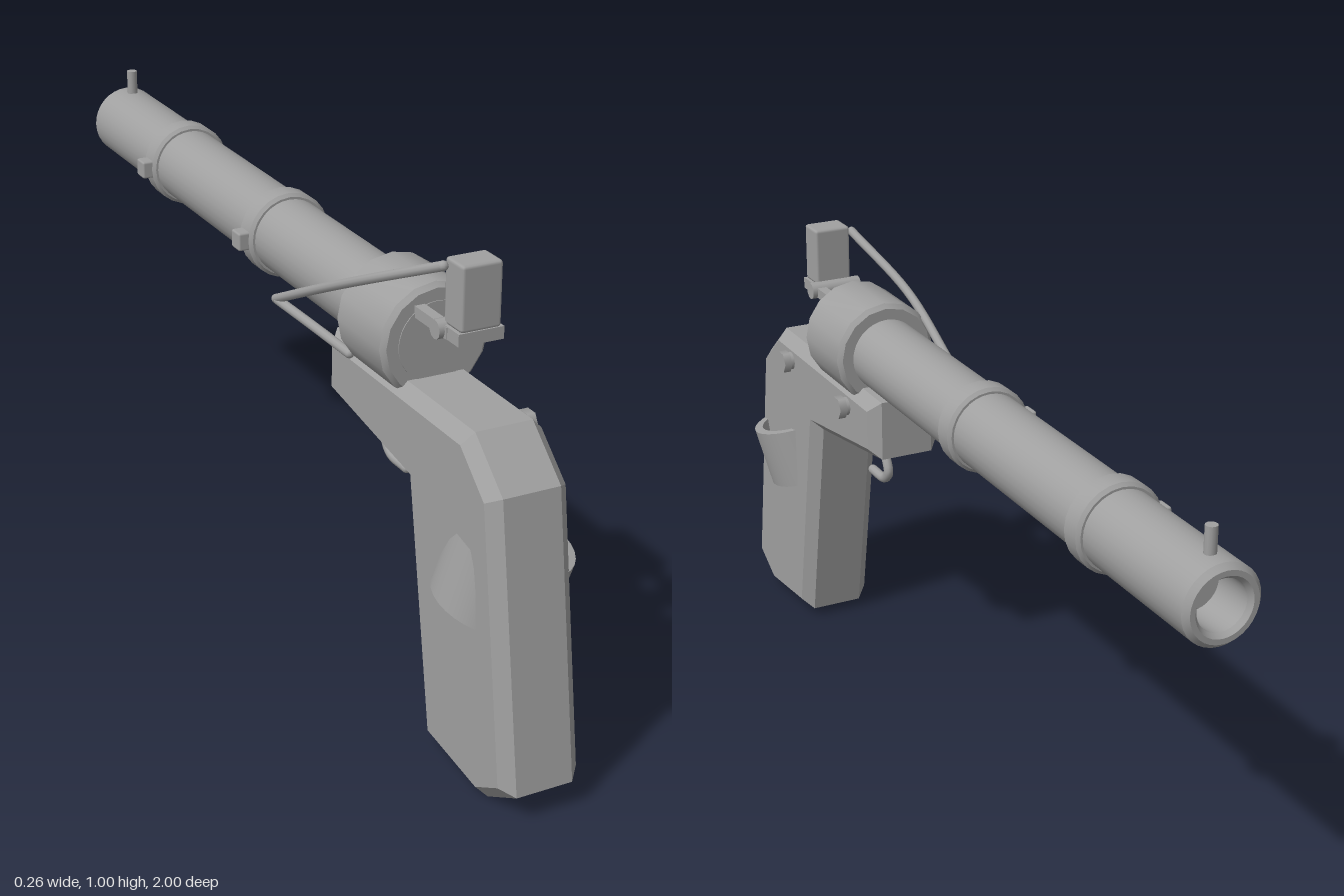
import * as THREE from 'three';
import { toCreasedNormals } from 'three/addons/utils/BufferGeometryUtils.js';
import { RoundedBoxGeometry } from 'three/addons/geometries/RoundedBoxGeometry.js';

const CX = -0.015; // centre plane of the body
const AXIS = 0.79; // height of the barrel axis
const steel = new THREE.MeshStandardMaterial({ color: 0xa0a0a0 });
steel.name = 'grey steel';

export function createModel() {
  const model = new THREE.Group();
  model.name = 'handCannon';

  const add = (name, geometry, x = 0, y = 0, z = 0) => {
    const mesh = new THREE.Mesh(geometry, steel);
    mesh.name = name;
    mesh.position.set(x, y, z);
    model.add(mesh);
    return mesh;
  };
  const lathe = (points, sides) =>
    toCreasedNormals(new THREE.LatheGeometry(points.map(p => new THREE.Vector2(...p)), sides), 0.6);
  // Turned part lying along z; profile is [radius, z]
  const turned = (name, points, sides) => add(name, lathe(points, sides).rotateX(Math.PI / 2), CX, AXIS);
  const collar = (name, r, z0, z1, c, sides) =>
    turned(name, [[0, z0], [r - c, z0], [r, z0 + c], [r, z1 - c], [r - c, z1], [0, z1]], sides);
  const rod = (name, points, radius) => {
    const curve = new THREE.CatmullRomCurve3(points.map(p => new THREE.Vector3(...p)));
    add(name, new THREE.TubeGeometry(curve, 24, radius, 10));
    for (const p of [points[0], points[points.length - 1]])
      add(name + 'End', new THREE.SphereGeometry(radius, 10, 8), ...p);
  };

  // Chamfered grip and frame, outlined as [z, y]
  const outline = [[0.90, 0], [1, 0.058], [0.912, 0.632], [0.81, 0.72], [0.27, 0.72],
    [0.27, 0.585], [0.6, 0.535], [0.69, 0.02]];
  const grip = new THREE.ExtrudeGeometry(new THREE.Shape(outline.map(p => new THREE.Vector2(...p))), {
    depth: 0.12, bevelThickness: 0.025, bevelSize: 0.025, bevelOffset: -0.025, bevelSegments: 1,
  });
  grip.translate(0, 0, -0.06).rotateY(-Math.PI / 2);
  add('grip', grip, CX);

  // Barrel with open muzzle
  turned('barrel', [[0, -0.9], [0.052, -0.9], [0.052, -0.99], [0.06, -1], [0.071, -1],
    [0.0815, -0.988], [0.0815, 0.562], [0, 0.562]], 32);
  collar('receiver', 0.117, 0.37, 0.56, 0.01, 16);

  // Barrel bands with side lugs
  for (const z of [-0.097, -0.623]) {
    collar('barrelBand', 0.0935, z - 0.028, z + 0.028, 0.007, 24);
    add('bandLug', new RoundedBoxGeometry(0.036, 0.04, 0.04, 1, 0.005), -0.112, AXIS, z);
  }

  add('frontSight', new THREE.CylinderGeometry(0.012, 0.012, 0.07, 12), CX, 0.89, -0.945);

  // Rear block on its hinge
  add('rearBlock', new RoundedBoxGeometry(0.085, 0.13, 0.065, 1, 0.007), CX, 0.935, 0.688);
  add('rearFoot', new THREE.BoxGeometry(0.095, 0.025, 0.07), CX, 0.859, 0.686);
  for (const side of [-1, 1])
    add('hingeArm', new THREE.BoxGeometry(0.022, 0.023, 0.13), CX + side * 0.038, 0.858, 0.615);
  add('hingePin', new THREE.CylinderGeometry(0.019, 0.019, 0.12, 12).rotateZ(Math.PI / 2), CX, 0.86, 0.655);

  // Frame bolts on the left face
  for (const z of [0.725, 0.405]) {
    add('boltWasher', new THREE.CylinderGeometry(0.021, 0.021, 0.012, 12).rotateZ(Math.PI / 2), 0.073, 0.67, z);
    add('boltHead', new THREE.CylinderGeometry(0.026, 0.026, 0.018, 6).rotateZ(Math.PI / 2), 0.087, 0.67, z);
  }

  // Linkage on the other side
  rod('linkRod', [[-0.066, 0.985, 0.665], [-0.11, 0.895, 0.46], [-0.11, 0.8, 0.25], [-0.105, 0.707, 0.05]], 0.01);
  rod('lowerRod', [[-0.1, 0.707, 0.37], [-0.102, 0.707, 0.2], [-0.105, 0.707, 0.06]], 0.01);

  // Trigger hook
  rod('trigger', [[CX, 0.575, 0.42], [CX, 0.545, 0.39], [CX, 0.505, 0.37], [CX, 0.482, 0.39], [CX, 0.478, 0.455]], 0.011);

  // Tilted ring through the grip
  const ring = add('thumbRing', lathe([[0.098, -0.07], [0.118, -0.07], [0.118, 0.07],
    [0.098, 0.07], [0.098, -0.07]], 32), -0.003, 0.42, 0.805);
  ring.rotation.set(0.2, 0, -0.22);

  return model;
}
